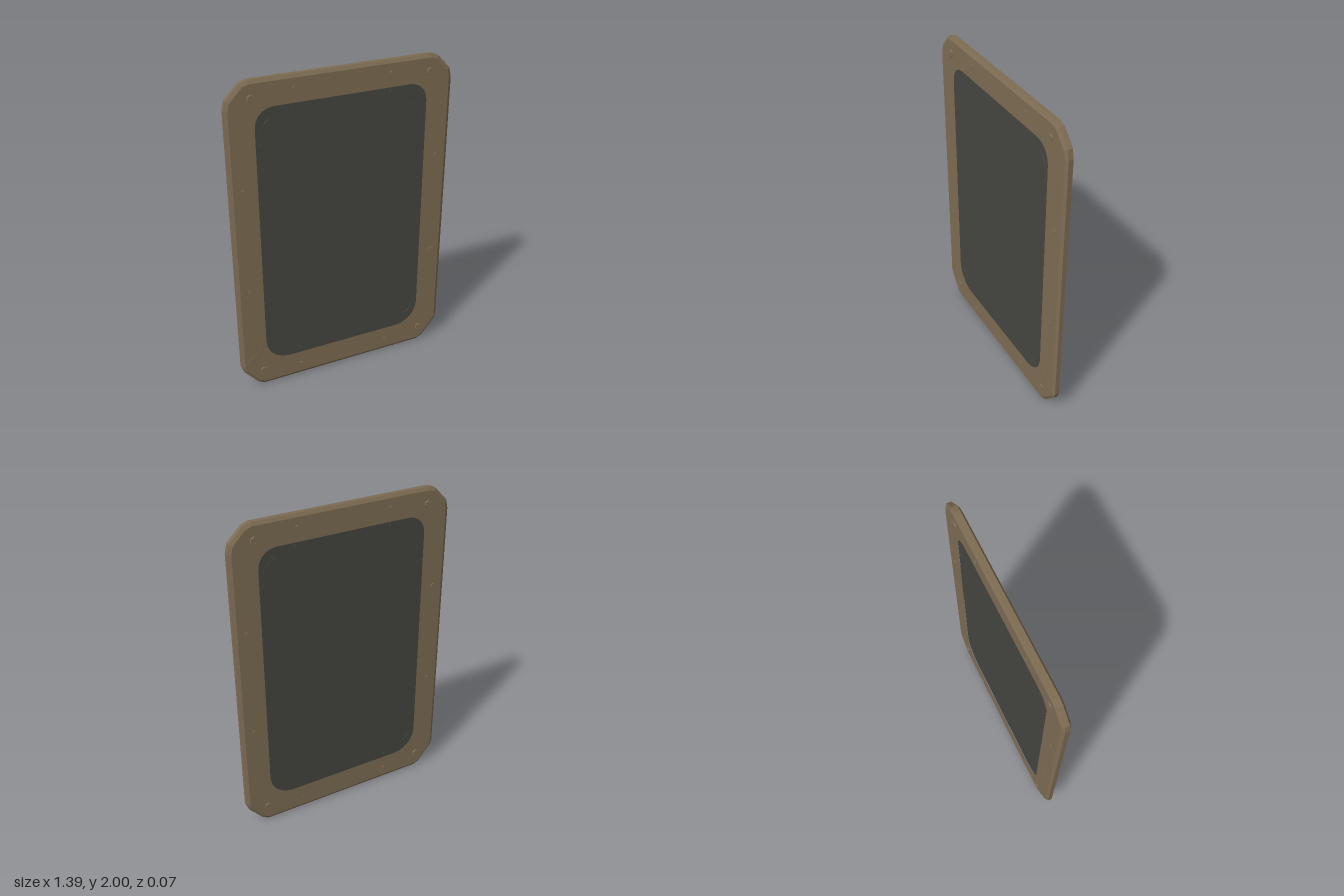
import * as THREE from 'three';

const frameMat = new THREE.MeshStandardMaterial({ color: 0x7d6c53 });
frameMat.name = 'wornBronze';
frameMat.flatShading = true;
const panelMat = new THREE.MeshStandardMaterial({ color: 0x454640 });
panelMat.name = 'darkSlate';
panelMat.flatShading = true;

// Closed outline from right-half points listed top to bottom, mirrored to the left
function mirrored(points, Type) {
  const right = points.map(([x, y]) => new THREE.Vector2(x, y));
  const left = points.map(([x, y]) => new THREE.Vector2(-x, y)).reverse();
  return new Type([...right, ...left]);
}

// Bevelled slab centred on z = 0 that never grows past its outline
function slab(shape, depth, bevel, bevelDepth) {
  const geo = new THREE.ExtrudeGeometry(shape, {
    depth: depth - 2 * bevelDepth, bevelEnabled: true, bevelSegments: 1,
    bevelSize: bevel, bevelThickness: bevelDepth, bevelOffset: -bevel, curveSegments: 6,
  });
  geo.translate(0, 0, -depth / 2 + bevelDepth);
  return geo;
}

// Rounded opening, tighter at the top corners; grow < 0 shrinks it
function openingPoints(grow) {
  const pts = [];
  const corner = (r, cy, from) => {
    for (let i = 0; i <= 5; i++) {
      const a = from - (i / 5) * Math.PI / 2;
      pts.push([0.55 - r + (r + grow) * Math.cos(a), cy + (r + grow) * Math.sin(a)]);
    }
  };
  corner(0.13, 1.86 - 0.13, Math.PI / 2);
  corner(0.17, 0.15 + 0.17, 0);
  return pts;
}

export function createModel() {
  const group = new THREE.Group();
  const add = (name, geo, mat, parent = group) => {
    const mesh = new THREE.Mesh(geo, mat);
    mesh.name = name;
    parent.add(mesh);
    return mesh;
  };

  // Frame with clipped corners
  const outline = mirrored([
    [0.555, 2], [0.6, 1.985], [0.682, 1.9], [0.695, 1.845],
    [0.695, 0.16], [0.682, 0.125], [0.59, 0.018], [0.55, 0],
  ], THREE.Shape);
  outline.holes.push(mirrored(openingPoints(0), THREE.Path));
  add('frame', slab(outline, 0.052, 0.02, 0.012), frameMat);

  // Inset panel filling the opening
  add('panel', slab(mirrored(openingPoints(0.012), THREE.Shape), 0.036, 0.012, 0.004), panelMat);

  // Bolts on both faces: [x, y, radius]
  const bolts = new THREE.Group();
  bolts.name = 'bolts';
  group.add(bolts);
  const frameBolts = [[0.545, 1.9, 0.026], [0.555, 0.11, 0.026], [0.295, 1.922, 0.016],
    [0.3, 0.08, 0.016], [0.615, 1.365, 0.017], [0.615, 0.7, 0.016]];
  const panelBolts = [[0.5, 1.62, 0.014], [0.3, 1.81, 0.014], [0.515, 0.45, 0.012], [0.3, 0.19, 0.015]];
  const bolt = (name, [x, y, r], top, mat) => {
    for (const side of [-1, 1]) for (const face of [-1, 1]) {
      const geo = new THREE.CylinderGeometry(r * 0.85, r, 0.012, 6);
      geo.rotateX(face * Math.PI / 2);
      const mesh = add(name, geo, mat, bolts);
      mesh.position.set(side * x, y, face * (top - 0.006));
    }
  };
  frameBolts.forEach((b) => bolt('frameBolt', b, b[2] > 0.02 ? 0.033 : 0.03, frameMat));
  panelBolts.forEach((b) => bolt('panelBolt', b, 0.021, panelMat));

  // Low arc ridges in the panel corners
  for (const face of [-1, 1]) for (const sx of [-1, 1]) for (const [cy, sy] of [[1.66, 1], [0.35, -1]]) {
    const arc = new THREE.EllipseCurve(sx * 0.4, cy, sx * 0.105, sy * 0.115, 0.35, 1.25);
    const pts = arc.getPoints(5).map((p) => new THREE.Vector3(p.x, p.y, face * 0.0165));
    add('panelRidge', new THREE.TubeGeometry(new THREE.CatmullRomCurve3(pts), 6, 0.004, 5), panelMat);
  }

  // Mitre ridges at the lower front corners
  for (const sx of [-1, 1]) {
    const ridge = add('mitreRidge', new THREE.BoxGeometry(0.16, 0.008, 0.006), frameMat);
    ridge.position.set(sx * 0.624, 0.225, 0.0245);
    ridge.rotation.z = -sx * Math.PI / 4;
  }

  // Long nick along one inner edge, on both faces
  const nick = new THREE.Shape([[0.573, 1.7], [0.545, 1.2], [0.552, 1.0], [0.573, 0.8], [0.558, 1.1]]
    .map(([x, y]) => new THREE.Vector2(x, y)));
  for (const face of [-1, 1]) {
    const mesh = add('edgeNick', new THREE.ExtrudeGeometry(nick, { depth: 0.006, bevelEnabled: false }), panelMat);
    mesh.position.z = face > 0 ? 0.0165 : -0.0225;
  }
  return group;
}
